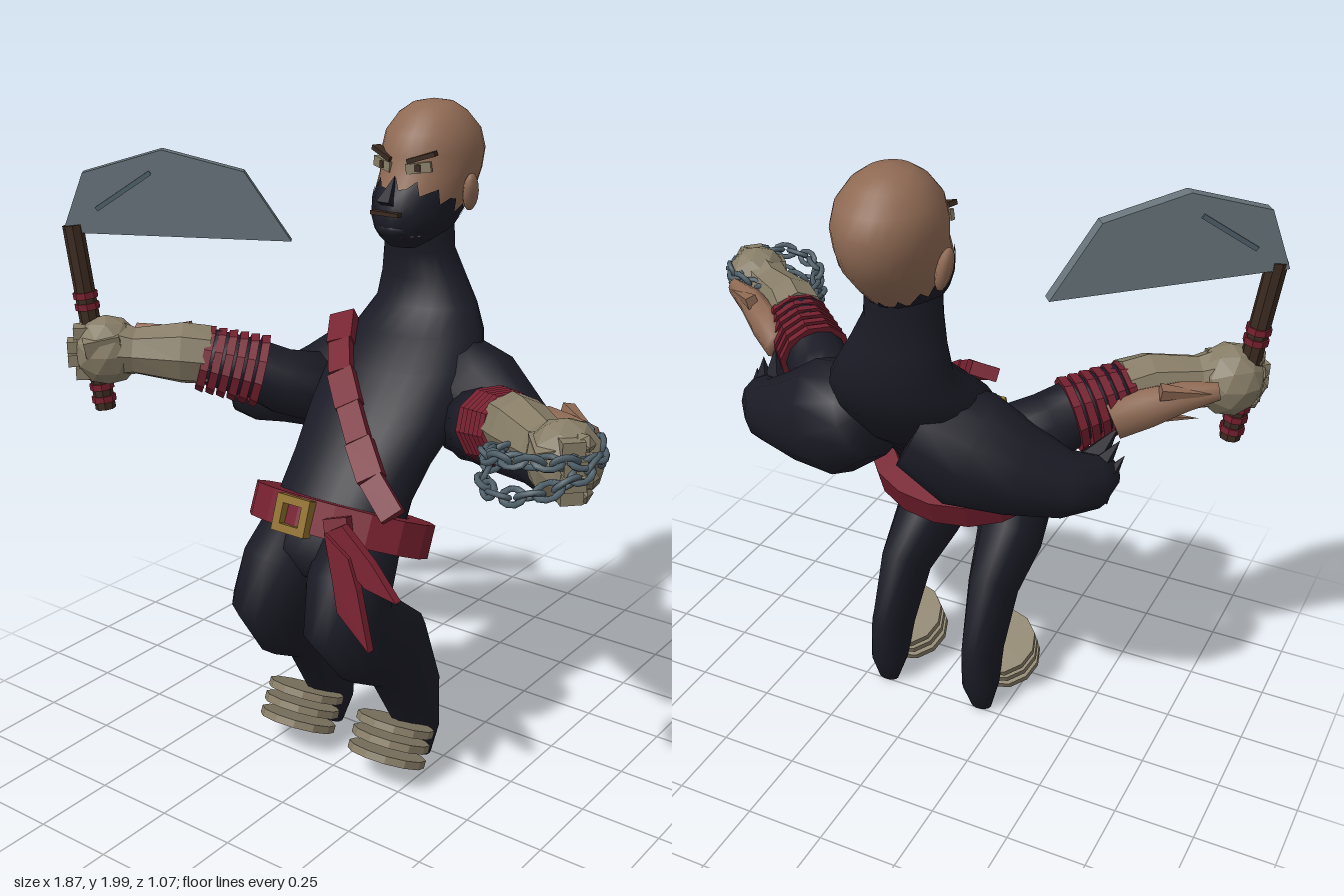
import * as THREE from 'three';
import { mergeVertices } from 'three/addons/utils/BufferGeometryUtils.js';

const V = (x, y, z) => new THREE.Vector3(x, y, z);
const mat = (name, color) => {
  const m = new THREE.MeshStandardMaterial({ color });
  m.name = name;
  return m;
};

// Grid surface from a rule fn(i, j); i runs around, j runs along
function grid(fn, nu, nv, smooth = true) {
  const pos = [], idx = [], n = nu + 1;
  for (let j = 0; j <= nv; j++)
    for (let i = 0; i <= nu; i++) pos.push(...fn(i % nu, j));
  for (let j = 0; j < nv; j++)
    for (let i = 0; i < nu; i++) {
      const a = j * n + i;
      idx.push(a, a + 1, a + n + 1, a, a + n + 1, a + n);
    }
  let g = new THREE.BufferGeometry();
  g.setAttribute('position', new THREE.Float32BufferAttribute(pos, 3));
  g.setIndex(idx);
  g = smooth ? mergeVertices(g, 1e-5) : g.toNonIndexed();
  g.computeVertexNormals();
  return g;
}
function flat(g) {
  const f = g.index ? g.toNonIndexed() : g;
  f.computeVertexNormals();
  return f;
}

// Upright body of ellipses; rows are [y, centre x, half width, front z, back z]
const body = (rows) => (a, y) => {
  let k = 0;
  while (k < rows.length - 2 && y > rows[k + 1][0]) k++;
  const t = THREE.MathUtils.clamp((y - rows[k][0]) / (rows[k + 1][0] - rows[k][0]), 0, 1);
  const [, c, r, f, b] = rows[k].map((v, i) => v + (rows[k + 1][i] - v) * t);
  return [c + r * Math.sin(a), y, (f + b) / 2 + Math.cos(a) * (f - b) / 2];
};

// Limb through stations [x, y, z, radius along ref, radius across], closed at both ends
function limb(st, ref, sides = 12, smooth = true) {
  const p = st.map((s) => V(s[0], s[1], s[2]));
  const rings = [];
  p.forEach((c, k) => {
    const t = p[Math.min(k + 1, p.length - 1)].clone().sub(p[Math.max(k - 1, 0)]).normalize();
    const e1 = ref.clone().addScaledVector(t, -t.dot(ref)).normalize();
    const ring = { c, e1, e2: t.clone().cross(e1), r: [st[k][3], st[k][4]] };
    if (k === 0) rings.push({ ...ring, r: [0, 0] });
    rings.push(ring);
    if (k === p.length - 1) rings.push({ ...ring, r: [0, 0] });
  });
  return grid((i, j) => {
    const q = rings[j], a = (i / sides) * Math.PI * 2;
    return q.c.clone().addScaledVector(q.e1, q.r[0] * Math.cos(a))
      .addScaledVector(q.e2, q.r[1] * Math.sin(a)).toArray();
  }, sides, rings.length - 1, smooth);
}

export function createModel() {
  const root = new THREE.Group();
  const cloth = mat('dark cloth', 0x1b1b26), skin = mat('skin', 0x8f6a54);
  const red = mat('red cloth', 0x75202f), bone = mat('beige leather', 0x877d67);
  const gold = mat('gold', 0x8f6f2c), steel = mat('blade steel', 0x68747b);
  const wood = mat('dark wood', 0x3a2a20), iron = mat('chain iron', 0x4f606a);
  const add = (name, geo, m, pos = [0, 0, 0], rot = [0, 0, 0], parent = root) => {
    const o = new THREE.Mesh(geo, m);
    o.name = name;
    o.position.set(...pos);
    o.rotation.set(...rot);
    parent.add(o);
    return o;
  };
  const box = (x, y, z) => new THREE.BoxGeometry(x, y, z);
  const aim = (o, dir) => o.quaternion.setFromUnitVectors(V(0, 1, 0), dir.clone().normalize());

  // Torso and neck, leaning back from the hips
  const torsoRows = [
    [0.68, -0.01, 0.0, 0.32, 0.22], [0.71, -0.01, 0.13, 0.37, 0.18], [0.79, -0.01, 0.215, 0.4, 0.05],
    [0.9, -0.01, 0.21, 0.34, -0.02], [1.0, -0.01, 0.22, 0.25, -0.11], [1.13, -0.01, 0.25, 0.14, -0.27],
    [1.25, -0.02, 0.25, 0.02, -0.37], [1.33, -0.02, 0.21, -0.08, -0.4], [1.4, -0.03, 0.17, -0.17, -0.41],
    [1.48, -0.05, 0.14, -0.2, -0.405], [1.56, -0.06, 0.11, -0.185, -0.4], [1.66, -0.06, 0.1, -0.17, -0.41]];
  const torso = body(torsoRows);
  add('torso', grid((i, j) => torso(i / 24 * Math.PI * 2, torsoRows[j][0]), 24, 11), cloth);

  // Bald head
  const headRows = [
    [1.58, -0.06, 0.07, -0.17, -0.37], [1.62, -0.06, 0.1, -0.125, -0.4], [1.67, -0.06, 0.12, -0.115, -0.455],
    [1.73, -0.06, 0.135, -0.13, -0.51], [1.79, -0.06, 0.142, -0.17, -0.535], [1.85, -0.06, 0.147, -0.18, -0.545],
    [1.91, -0.06, 0.135, -0.2, -0.525], [1.96, -0.06, 0.1, -0.245, -0.475], [1.988, -0.06, 0.06, -0.29, -0.43],
    [2, -0.06, 0, -0.36, -0.36]];
  const head = body(headRows);
  add('head', grid((i, j) => head(i / 28 * Math.PI * 2, headRows[j][0]), 28, 9), skin);

  // Mask with a ragged upper edge, low at the nape
  const mask = grid((i, j) => {
    const a = i / 40 * Math.PI * 2;
    const top = 1.7 + 0.07 * Math.cos(a) + 0.02 * Math.cos(i * 2.2);
    const p = head(a, 1.58 + (top - 1.58) * j / 6);
    return [-0.06 + (p[0] + 0.06) * 1.03, p[1], -0.33 + (p[2] + 0.33) * 1.03];
  }, 40, 6);
  add('mask', mask, cloth);
  add('nose', flat(new THREE.ConeGeometry(0.032, 0.09, 4)), cloth, [-0.06, 1.755, -0.137], [-0.5, Math.PI / 4, 0]);
  const chin = add('chin', new THREE.SphereGeometry(1, 10, 8), cloth, [-0.06, 1.64, -0.15]);
  chin.scale.set(0.06, 0.03, 0.04);
  add('mouth', box(0.1, 0.012, 0.02), wood, [-0.06, 1.69, -0.112]);
  for (const s of [-1, 1]) {
    const eye = head(s * 0.46, 1.82), brow = head(s * 0.48, 1.85);
    eye[2] += 0.004;
    add('eye', box(0.078, 0.03, 0.014), bone, eye, [0, s * 0.3, s * 0.15]);
    add('pupil', box(0.018, 0.022, 0.006), wood, [eye[0], eye[1], eye[2] + 0.007], [0, s * 0.3, 0]);
    add('eyebrow', box(0.09, 0.014, 0.03), wood, brow, [0, s * 0.3, s * 0.3]);
    const ear = add('ear', new THREE.SphereGeometry(1, 10, 8), skin, [-0.06 + s * 0.148, 1.735, -0.345], [0.2, 0, s * -0.15]);
    ear.scale.set(0.02, 0.06, 0.034);
  }

  // Thick belt, buckle and knotted sash
  const beltProfile = [[0.295, -0.05], [0.295, 0.05], [0.21, 0.05], [0.21, -0.05], [0.295, -0.05]];
  const beltGeo = new THREE.LatheGeometry(beltProfile.map((p) => new THREE.Vector2(...p)), 16);
  beltGeo.scale(1, 1, 0.76);
  add('belt', flat(beltGeo), red, [-0.005, 0.83, 0.19], [-0.41, 0, 0]);
  const buckle = new THREE.Group();
  buckle.name = 'buckle';
  buckle.position.set(-0.012, 0.912, 0.402);
  buckle.rotation.x = -0.35;
  root.add(buckle);
  for (const s of [-1, 1]) {
    add('buckleSide', box(0.026, 0.105, 0.035), gold, [s * 0.046, 0, 0], [0, 0, 0], buckle);
    add('buckleBar', box(0.115, 0.024, 0.035), gold, [0, s * 0.042, 0], [0, 0, 0], buckle);
  }
  add('sashKnot', box(0.07, 0.1, 0.06), red, [0.14, 0.885, 0.385], [-0.3, 0.3, 0.3]);
  const tails = [
    [[0.12, 0.9], [0.15, 0.84], [0.27, 0.775], [0.375, 0.76], [0.28, 0.85], [0.17, 0.93]],
    [[0.12, 0.9], [0.165, 0.77], [0.19, 0.69], [0.31, 0.605], [0.25, 0.77], [0.21, 0.85]]];
  tails.forEach((t, k) => {
    const g = new THREE.ExtrudeGeometry(new THREE.Shape(t.map((p) => new THREE.Vector2(...p))), { depth: 0.025, bevelEnabled: false });
    const p = g.attributes.position;
    for (let i = 0; i < p.count; i++) p.setZ(i, p.getZ(i) + 0.395 + k * 0.012 + (0.9 - p.getY(i)) * 0.17);
    add('sashTail', flat(g), red);
  });

  // Segmented chest strap
  const path = new THREE.CatmullRomCurve3([V(-0.23, 1.345, -0.13), V(-0.12, 1.25, 0.035), V(0.03, 1.125, 0.165),
    V(0.15, 1.015, 0.25), V(0.25, 0.93, 0.28)]);
  for (let k = 0; k < 6; k++) {
    const a = path.getPointAt(k / 6), b = path.getPointAt((k + 1) / 6);
    const t = b.clone().sub(a).normalize(), n = V(0.15, 0.6, 0.8);
    n.addScaledVector(t, -n.dot(t)).normalize();
    const seg = add('chestStrap', box(a.distanceTo(b), k % 2 ? 0.07 : 0.08, 0.04), red, a.add(b).multiplyScalar(0.5).toArray());
    seg.quaternion.setFromRotationMatrix(new THREE.Matrix4().makeBasis(t, n.clone().cross(t), n));
  }

  for (const s of [-1, 1]) {
    const side = (st) => st.map(([x, ...r]) => [x * s, ...r]);

    // Bent leg and layered sandal
    const leg = limb(side([[0.1, 0.82, 0.22, 0.11, 0.14], [0.122, 0.7, 0.32, 0.125, 0.135], [0.133, 0.61, 0.34, 0.128, 0.15],
      [0.15, 0.52, 0.275, 0.105, 0.145], [0.16, 0.42, 0.13, 0.075, 0.135], [0.165, 0.23, 0.045, 0.06, 0.117],
      [0.17, 0.1, 0.02, 0.06, 0.07], [0.175, 0.01, 0.02, 0.035, 0.025]]), V(1, 0, 0), 14);
    add('leg', leg, cloth);
    [[0.175, 0.16], [0.135, 0.183], [0.092, 0.205]].forEach(([y, z]) => {
      const g = flat(new THREE.CylinderGeometry(0.122, 0.122, 0.024, 12));
      add('sandalLayer', g, bone, [s * 0.175, y, z], [-0.47, 0, 0]);
    });

    // Loose sleeve and inner forearm
    add('sleeve', limb(side([[0.08, 1.2, -0.24, 0.14, 0.14], [0.22, 1.13, -0.205, 0.18, 0.16], [0.36, 1.08, -0.17, 0.14, 0.13],
      [0.49, 1.045, -0.13, 0.1, 0.095], [0.55, 1.04, -0.07, 0.085, 0.075], [0.58, 1.05, -0.01, 0.05, 0.04]]), V(0, 1, 0)), cloth);
    add('forearmSleeve', limb(side([[0.28, 1.1, -0.12, 0.12, 0.12], [0.38, 1.14, 0, 0.105, 0.1], [0.44, 1.18, 0.05, 0.095, 0.095],
      [0.55, 1.225, 0.145, 0.09, 0.09]]), V(0, 1, 0)), cloth);
    const flap = flat(new THREE.ConeGeometry(0.05, 0.14, 5));
    for (const [x, y, z] of [[0.57, 1.1, -0.04], [0.59, 1.06, -0.05], [0.55, 1.12, 0.0]])
      aim(add('sleeveTatter', flap, cloth, [s * x, y, z]), V(s * 0.3, 0.5, 0.5));

    // Red forearm wraps
    const axis = V(s * 0.74, 0.25, 0.62).normalize();
    for (let k = 0; k < 6; k++) {
      const c = V(s * 0.435, 1.175, 0.045).addScaledVector(axis, k * 0.034);
      const r = 0.116 - k * 0.002;
      aim(add('forearmWrap', flat(new THREE.CylinderGeometry(r - 0.006, r, 0.025, 10)), red, c.toArray()), axis);
    }

    // Bare outer arm with a ragged end
    add('bareArm', limb(side([[0.56, 1.18, 0.04, 0.06, 0.045], [0.64, 1.22, 0.09, 0.065, 0.05], [0.73, 1.25, 0.15, 0.05, 0.04],
      [0.82, 1.27, 0.19, 0.03, 0.02]]), V(0, 1, 0), 8), skin);
    for (let k = 0; k < 3; k++)
      aim(add('raggedSkin', flat(new THREE.ConeGeometry(0.026, 0.18, 4)), skin, [s * (0.755 - k * 0.03), 1.275 - k * 0.045, 0.13]), V(s * 0.8, -0.1, 0.5));

    // Leather gauntlet and fist
    add('gauntlet', limb(side([[0.55, 1.23, 0.145, 0.095, 0.095], [0.61, 1.24, 0.2, 0.098, 0.09], [0.73, 1.245, 0.28, 0.075, 0.075],
      [0.78, 1.25, 0.31, 0.09, 0.085]]), V(0, 1, 0), 8, false), bone);
    const fist = add('fist', flat(new THREE.IcosahedronGeometry(0.112, 1)), bone, [s * 0.81, 1.245, 0.325], [0, s * 0.8, 0]);
    fist.scale.set(0.92, 1, 0.95);
    for (let k = 0; k < 4; k++) {
      const y = 1.18 + k * 0.043, inset = k % 3 ? 0 : 0.015;
      add('finger', box(0.06, 0.037, 0.1), bone, [s * (0.855 - inset), y, 0.38 - inset], [0, s * 0.8, 0]);
      add('knuckle', flat(new THREE.IcosahedronGeometry(0.032, 0)), bone, [s * (0.888 - inset), y, 0.35]);
    }
    add('thumb', box(0.05, 0.05, 0.11), bone, [s * 0.775, 1.28, 0.38], [0.2, s * 0.7, 0]);
  }

  // Cleaver handle with red bindings
  const low = V(-0.83, 1.05, 0.33), high = V(-0.905, 1.63, 0.345), along = high.clone().sub(low);
  const rod = (name, t0, t1, r, m) => {
    const g = flat(new THREE.CylinderGeometry(r, r, along.length() * (t1 - t0), 8));
    aim(add(name, g, m, low.clone().addScaledVector(along, (t0 + t1) / 2).toArray()), along);
  };
  rod('handle', 0, 1, 0.032, wood);
  for (const t of [0.04, 0.11, 0.17, 0.55, 0.61]) rod('handleBinding', t, t + 0.035, 0.038, red);

  // Cleaver blade, running diagonally back from the handle
  const outline = [[0, 1.61], [0.694, 1.575], [0.555, 1.79], [0.31, 1.857], [0.07, 1.79]];
  const blade = new THREE.ExtrudeGeometry(new THREE.Shape(outline.map((p) => new THREE.Vector2(...p))), { depth: 0.04, bevelEnabled: false });
  blade.translate(0, 0, -0.02);
  const cleaver = new THREE.Group();
  cleaver.name = 'cleaverBlade';
  cleaver.position.set(-0.93, 0, 0.36);
  cleaver.rotation.y = Math.atan2(0.43, 0.545);
  root.add(cleaver);
  add('blade', flat(blade), steel, [0, 0, 0], [0, 0, 0], cleaver);
  for (const s of [-1, 1]) add('bladeGroove', box(0.2, 0.014, 0.008), iron, [0.19, 1.735, s * 0.022], [0, 0, 0.58], cleaver);

  // Two chain loops around the other fist
  const link = new THREE.TorusGeometry(0.021, 0.0085, 6, 10);
  link.scale(1.5, 1, 1);
  for (const [y, r, tilt] of [[1.235, 0.152, V(-0.22, 0.94, 0.28)], [1.255, 0.14, V(-0.12, 0.97, -0.2)]]) {
    const chain = new THREE.Group();
    chain.name = 'chain';
    chain.position.set(0.76, y, 0.355);
    aim(chain, tilt);
    root.add(chain);
    for (let k = 0; k < 20; k++) {
      const a = k / 20 * Math.PI * 2;
      const o = add('chainLink', link, iron, [r * Math.sin(a), 0, r * Math.cos(a)], [0, a, 0], chain);
      o.rotateX(k % 2 ? Math.PI / 4 : -Math.PI / 4);
    }
  }
  return root;
}
